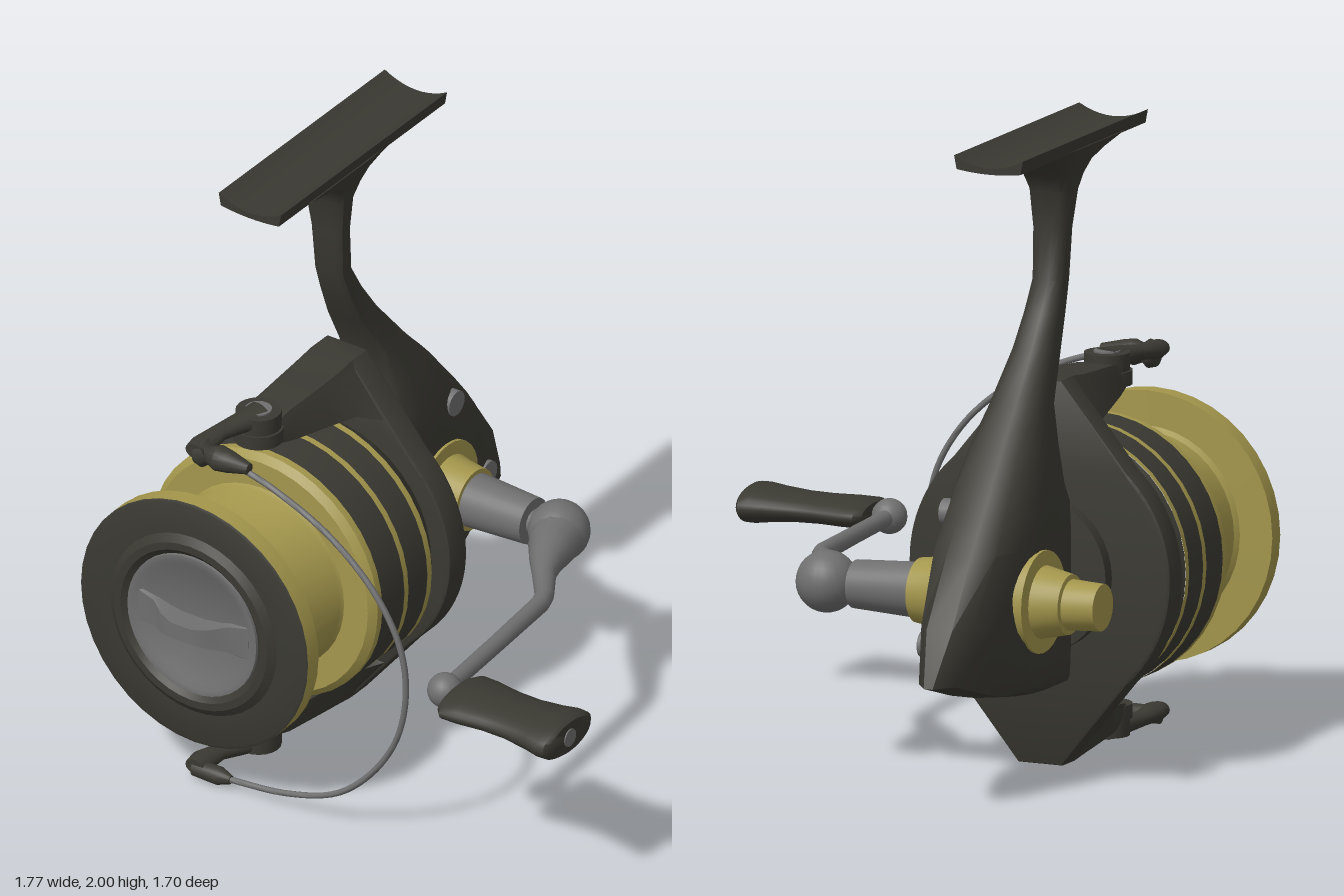
import * as THREE from 'three';
import { toCreasedNormals } from 'three/addons/utils/BufferGeometryUtils.js';

const AX = -0.435, AY = 0.625; // spool axis
const V = (x, y, z) => new THREE.Vector3(x, y, z);

export function createModel() {
  const material = (name, color) => {
    const m = new THREE.MeshStandardMaterial({ color });
    m.name = name;
    return m;
  };
  const dark = material('dark graphite', 0x3a3932);
  const gold = material('gold', 0xa3964c);
  const grey = material('steel grey', 0x6f6f70);

  const model = new THREE.Group();
  model.name = 'fishingReel';
  const group = (name) => {
    const g = new THREE.Group();
    g.name = name;
    model.add(g);
    return g;
  };
  const add = (parent, name, geo, mat, crease = 0.6) => {
    const mesh = new THREE.Mesh(toCreasedNormals(geo, crease), mat);
    mesh.name = name;
    parent.add(mesh);
    return mesh;
  };

  // Lathe with [radius, offset] points, turned to lie along z or x
  const latheZ = (pts, n = 40) =>
    new THREE.LatheGeometry(pts.map(p => new THREE.Vector2(...p)), n).rotateX(Math.PI / 2);
  const latheX = (pts, n = 28) =>
    new THREE.LatheGeometry(pts.map(p => new THREE.Vector2(...p)), n).rotateZ(-Math.PI / 2);

  // Closed skin through equal-sized rings of points, with end caps
  function loft(rings) {
    const n = rings[0].length, pos = [], idx = [];
    rings.forEach(r => r.forEach(p => pos.push(p.x, p.y, p.z)));
    for (let i = 0; i < rings.length - 1; i++)
      for (let j = 0; j < n; j++) {
        const a = i * n + j, b = i * n + (j + 1) % n;
        idx.push(a, b, b + n, a, b + n, a + n);
      }
    for (const [k, flip] of [[0, true], [rings.length - 1, false]]) {
      const c = rings[k].reduce((s, p) => s.add(p), V(0, 0, 0)).divideScalar(n);
      const ci = pos.length / 3;
      pos.push(c.x, c.y, c.z);
      for (let j = 0; j < n; j++) {
        const a = k * n + j, b = k * n + (j + 1) % n;
        idx.push(...(flip ? [ci, b, a] : [ci, a, b]));
      }
    }
    // turn the skin outward if its signed volume is negative
    const at = i => V(pos[3 * i], pos[3 * i + 1], pos[3 * i + 2]);
    let vol = 0;
    for (let i = 0; i < idx.length; i += 3) vol += at(idx[i]).dot(at(idx[i + 1]).cross(at(idx[i + 2])));
    if (vol < 0) idx.reverse();
    const g = new THREE.BufferGeometry();
    g.setAttribute('position', new THREE.Float32BufferAttribute(pos, 3));
    g.setIndex(idx);
    return g;
  }

  // Rod with changing radius; pts are [x, y, z, radius]
  function taperedRod(pts, flat = 1, n = 14) {
    return loft(pts.map(([x, y, z, r], i) => {
      const a = pts[Math.max(i - 1, 0)], b = pts[Math.min(i + 1, pts.length - 1)];
      const t = V(b[0] - a[0], 0, b[2] - a[2]).normalize();
      return Array.from({ length: n }, (_, k) => {
        const u = k / n * Math.PI * 2, c = Math.cos(u) * r;
        return V(x + t.z * c, y + Math.sin(u) * r * flat, z - t.x * c);
      });
    }));
  }

  // Body and stem: levels are [y, front z, back z, half width]
  const body = group('body');
  const levels = [
    [0.305, -0.08, -0.445, 0.13], [0.33, -0.08, -0.6, 0.148], [0.4, -0.08, -0.85, 0.155],
    [0.57, -0.08, -0.77, 0.155], [0.78, -0.08, -0.63, 0.152], [0.87, -0.08, -0.56, 0.146],
    [0.94, -0.116, -0.5, 0.138], [1.06, -0.13, -0.4, 0.118], [1.18, -0.116, -0.285, 0.09],
    [1.34, -0.02, -0.15, 0.066], [1.445, 0.025, -0.075, 0.058], [1.54, 0.058, -0.02, 0.053],
    [1.7, 0.07, -0.005, 0.058], [1.82, 0.085, -0.01, 0.072], [1.87, 0.105, -0.045, 0.085],
    [1.91, 0.15, -0.1, 0.097], [1.937, 0.24, -0.19, 0.108], [1.962, 0.4, -0.36, 0.115],
  ];
  const outline = [[0, 0.6], [0.03, 0.85], [0.12, 1], [0.35, 1], [0.55, 1], [0.75, 0.92], [0.92, 0.7], [1, 0.28]];
  const tail = [[-0.85, 0.015], [-0.77, 0.075], [-0.6, 0.115], [-0.54, 0.148], [-0.45, 0.16]];
  const tailWidth = z => {
    for (let i = 0; i < tail.length - 1; i++) {
      const [a, wa] = tail[i], [b, wb] = tail[i + 1];
      if (z <= b) return wa + (wb - wa) * Math.max(0, (z - a) / (b - a));
    }
    return 1;
  };
  add(body, 'bodyAndStem', loft(levels.map(([y, zf, zb, hw]) => {
    const side = outline.map(([t, w]) => {
      const z = zf + (zb - zf) * t;
      return V(Math.min(hw * w, tailWidth(z)), y, z);
    });
    return [...side, ...side.slice().reverse().map(p => V(-p.x, p.y, p.z))]
      .map(p => p.setX(p.x + AX));
  })), dark, 0.7);

  // Mounting foot with a hollow top
  const foot = new THREE.Shape();
  foot.moveTo(-0.118, 2);
  foot.quadraticCurveTo(0, 1.935, 0.118, 2);
  foot.lineTo(0.11, 1.957);
  foot.quadraticCurveTo(0, 1.94, -0.11, 1.957);
  add(body, 'foot', new THREE.ExtrudeGeometry(foot, { depth: 0.895, bevelEnabled: false, curveSegments: 10 })
    .translate(AX, 0, -0.418), dark);

  // Side screws
  for (const [y, z, x] of [[0.873, -0.43, 0.147], [0.43, -0.165, 0.161], [0.497, -0.65, 0.116]])
    add(body, 'bodyScrew', latheX([[0.042, 0], [0.042, x], [0, x]], 16).translate(AX, y, z), grey);

  // Crank bosses on both sides
  const crankY = 0.6, crankZ = -0.36;
  const rightBoss = [[0.162, 0.1], [0.162, 0.162], [0.118, 0.164], [0.11, 0.2], [0.102, 0.265], [0, 0.265]];
  const leftBoss = [[0, -0.365], [0.074, -0.365], [0.08, -0.258], [0.095, -0.255], [0.115, -0.164], [0.162, -0.162], [0.162, -0.1]];
  for (const [name, p] of [['rightBoss', rightBoss], ['leftBoss', leftBoss]])
    add(body, name, latheX(p).translate(AX, crankY, crankZ), gold);

  // Spool
  const spool = group('spool');
  spool.position.set(AX, AY, 0);
  add(spool, 'spoolCore', latheZ([[0.427, 0.37], [0.427, 0.395], [0.405, 0.417], [0.315, 0.417], [0.307, 0.43],
    [0.307, 0.7], [0.32, 0.715], [0.43, 0.718], [0.43, 0.775]]), gold);
  const skirt = [
    ['skirtBack', dark, [[0, 0.04], [0.38, 0.04], [0.427, 0.105]]],
    ['skirtStripe', gold, [[0.428, 0.105], [0.428, 0.128]]],
    ['skirtBand', dark, [[0.427, 0.128], [0.427, 0.23]]],
    ['skirtStripe', gold, [[0.428, 0.23], [0.428, 0.252]]],
    ['skirtBand', dark, [[0.427, 0.252], [0.427, 0.37]]],
  ];
  for (const [name, mat, p] of skirt) add(spool, name, latheZ(p), mat);
  add(spool, 'frontPlate', latheZ([[0.43, 0.775], [0.42, 0.78], [0.315, 0.78], [0.29, 0.798], [0.265, 0.798], [0.245, 0.78]]), dark);
  add(spool, 'dragKnob', latheZ([[0.246, 0.775], [0.244, 0.79], [0.225, 0.79], [0.205, 0.778], [0, 0.778]]), grey);
  add(spool, 'dragKnobGrip', loft([[-0.21, 0.066, 0.782], [-0.14, 0.054, 0.795], [-0.09, 0.04, 0.83], [-0.04, 0.032, 0.848],
    [0.04, 0.032, 0.848], [0.09, 0.04, 0.83], [0.14, 0.054, 0.795], [0.21, 0.066, 0.782]]
    .map(([x, h, z]) => [V(x, -h, 0.77), V(x, h, 0.77), V(x, h * 0.85, z), V(x, -h * 0.85, z)])), grey);

  // Rotor plate: round with a flattened point at top and bottom
  const rotor = group('rotor');
  rotor.position.set(AX, AY, 0);
  const plate = new THREE.Shape();
  const a = 0.84;
  plate.absarc(0, 0, 0.44, -a, a, false);
  plate.lineTo(0.07, 0.6);
  plate.lineTo(-0.07, 0.6);
  plate.absarc(0, 0, 0.44, Math.PI - a, Math.PI + a, false);
  plate.lineTo(-0.07, -0.6);
  plate.lineTo(0.07, -0.6);
  add(rotor, 'rotorPlate', new THREE.ExtrudeGeometry(plate, {
    depth: 0.07, bevelThickness: 0.012, bevelSize: 0.01, bevelSegments: 2, curveSegments: 20,
  }).translate(0, 0, -0.043), dark);
  add(rotor, 'rotorHub', latheZ([[0.25, -0.1], [0.25, -0.05]]), dark);

  // Rotor arms, bail pivots and bail arms at top and bottom
  const armSections = [ // z, inner y, inner half width, outer y, outer half width
    [0, 0.4, 0.24, 0.61, 0.075], [0.04, 0.44, 0.2, 0.61, 0.075], [0.1, 0.463, 0.14, 0.602, 0.075],
    [0.2, 0.475, 0.12, 0.594, 0.07], [0.35, 0.487, 0.085, 0.583, 0.06], [0.42, 0.5, 0.07, 0.565, 0.055],
  ];
  for (const s of [1, -1]) {
    const end = s > 0 ? 'upper' : 'lower';
    add(rotor, end + 'RotorArm', loft(armSections.map(([z, yi, wi, yo, wo]) => [
      V(-wi, s * yi, z), V(wi, s * yi, z), V(wo * 1.25, s * (yo - 0.035), z), V(wo, s * yo, z),
      V(-wo, s * yo, z), V(-wo * 1.25, s * (yo - 0.035), z)])), dark);
    const disc = (name, r, y0, y1, mat) => add(rotor, end + name,
      new THREE.CylinderGeometry(r, r, y1 - y0, 20).translate(0, s * (y0 + y1) / 2, 0.43), mat);
    disc('PivotPad', 0.08, 0.505, 0.55, dark);
    disc('BailPivot', 0.072, 0.55, 0.606, dark);
    disc('PivotScrew', 0.042, 0.6, 0.611, grey);
    add(rotor, end + 'BailArm', taperedRod([[0, s * 0.58, 0.42, 0.055], [-0.02, s * 0.585, 0.5, 0.04],
      [-0.045, s * 0.58, 0.58, 0.032], [-0.05, s * 0.573, 0.66, 0.042], [-0.05, s * 0.573, 0.705, 0.034]], 0.75), dark);
  }
  // Line roller and lower wire socket
  add(rotor, 'lineRoller', latheX([[0, -0.06], [0.04, -0.055], [0.046, -0.03], [0.03, -0.01], [0.042, 0.02],
    [0.036, 0.06], [0.018, 0.135], [0, 0.14]], 18).translate(0, 0.558, 0.672), dark);
  add(rotor, 'wireSocket', latheX([[0, -0.065], [0.028, -0.06], [0.03, 0.03], [0.014, 0.075], [0, 0.076]], 16)
    .translate(0, -0.587, 0.685), dark);

  // Bail wire
  const wire = [[-0.34, 1.178], [-0.2, 1.14], [0, 1.05], [0.17, 0.91], [0.27, 0.75], [0.298, 0.6],
    [0.27, 0.42], [0.18, 0.26], [0.04, 0.13], [-0.15, 0.063], [-0.39, 0.036]];
  add(model, 'bailWire', new THREE.TubeGeometry(new THREE.CatmullRomCurve3(
    wire.map(([x, y], i) => V(x, y, 0.672 + i * 0.0013))), 60, 0.01, 8), grey, 1);

  // Crank handle
  const crank = group('crankHandle');
  add(crank, 'crankShaft', latheX([[0.088, -0.175], [0.076, 0.05], [0, 0.05]]).translate(0, crankY, crankZ), grey);
  add(crank, 'crankHinge', latheX([[0.04, 0.04], [0.04, 0.12]], 14).translate(0, crankY, crankZ), grey);
  add(crank, 'crankJoint', new THREE.SphereGeometry(0.098, 24, 16).translate(0.147, crankY, -0.362), grey, 1);
  add(crank, 'crankArm', taperedRod([[0.15, 0.6, -0.37, 0.09], [0.185, 0.6, -0.27, 0.077], [0.225, 0.6, -0.18, 0.052],
    [0.26, 0.6, -0.12, 0.038], [0.335, 0.6, -0.015, 0.03], [0.35, 0.6, 0.03, 0.03], [0.375, 0.6, 0.3, 0.028],
    [0.4, 0.6, 0.6, 0.027]]), grey, 0.8);
  add(crank, 'knobJoint', new THREE.SphereGeometry(0.056, 20, 14).translate(0.403, 0.6, 0.617), grey, 1);
  add(crank, 'knobAxle', latheX([[0.028, 0.42], [0.028, 0.48]], 12).translate(0, 0.6, 0.62), grey);
  const knob = latheX([[0, 0.452], [0.105, 0.454], [0.128, 0.475], [0.126, 0.53], [0.113, 0.62], [0.111, 0.7],
    [0.122, 0.79], [0.133, 0.84], [0.13, 0.87], [0.11, 0.883], [0, 0.885]], 28);
  const kp = knob.attributes.position;
  for (let i = 0; i < kp.count; i++) // flatten, thinner towards the arm
    kp.setY(i, kp.getY(i) * (0.34 + 0.13 * (kp.getX(i) - 0.45) / 0.43));
  add(crank, 'knob', knob.translate(0, 0.603, 0.625), dark, 0.8);
  add(crank, 'knobCap', latheX([[0.03, 0.87], [0.03, 0.888], [0, 0.888]], 16).translate(0, 0.603, 0.63), grey);

  return model;
}
